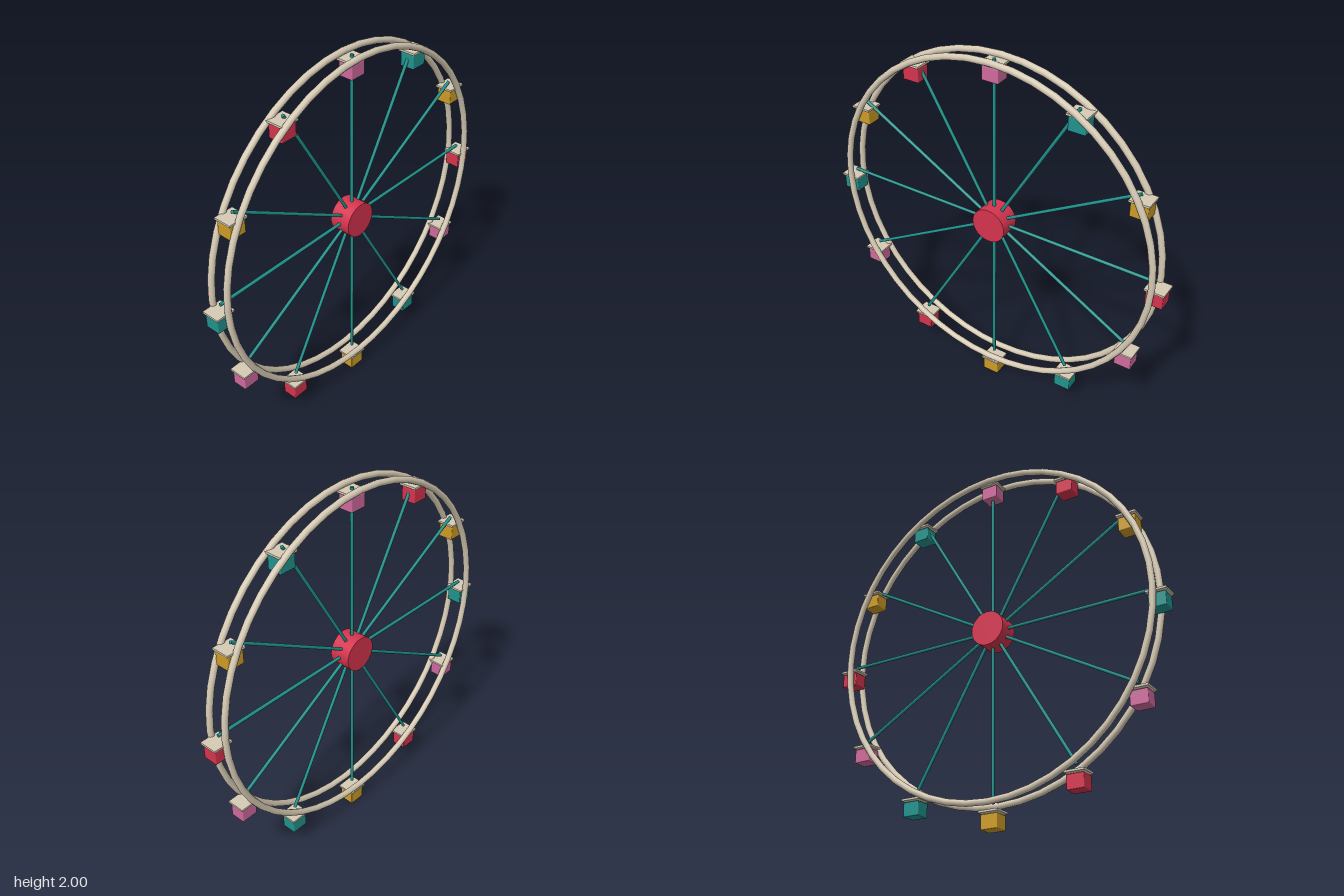
import * as THREE from 'three';
import { RoundedBoxGeometry } from 'three/addons/geometries/RoundedBoxGeometry.js';

const material = (name, color) => {
  const m = new THREE.MeshStandardMaterial({ color });
  m.name = name;
  return m;
};

export function createModel() {
  const red = material('red', 0xd5344e);
  const yellow = material('yellow', 0xcc9c26);
  const teal = material('teal', 0x20928d);
  const pink = material('pink', 0xcf6a9c);
  const cream = material('cream', 0xd6cab4);

  const AXLE_Y = 1.057, RIM = 0.925, PIVOT = 0.937, COUNT = 12;
  const model = new THREE.Group();
  model.name = 'ferrisWheel';

  const add = (parent, name, geometry, mat, x = 0, y = 0, z = 0) => {
    const mesh = new THREE.Mesh(geometry, mat);
    mesh.name = name;
    mesh.position.set(x, y, z);
    parent.add(mesh);
    return mesh;
  };

  // Two parallel rims
  const rimGeo = new THREE.TorusGeometry(RIM, 0.0175, 10, 48);
  add(model, 'frontRim', rimGeo, cream, 0, AXLE_Y, 0.053);
  add(model, 'backRim', rimGeo, cream, 0, AXLE_Y, -0.053);

  // Hub drum
  const hubGeo = new THREE.CylinderGeometry(0.096, 0.096, 0.118, 24).rotateX(Math.PI / 2);
  add(model, 'hub', hubGeo, red, 0, AXLE_Y, 0);

  // Spokes and upright hanging cabins
  const spokeGeo = new THREE.CylinderGeometry(0.009, 0.009, RIM, 8).translate(0, RIM / 2, 0);
  const cabinGeo = new RoundedBoxGeometry(0.094, 0.076, 0.083, 2, 0.005);
  const roofGeo = new THREE.BoxGeometry(0.108, 0.011, 0.099);
  const cabinColors = [red, yellow, teal, pink];

  for (let i = 0; i < COUNT; i++) {
    const a = (i / COUNT) * Math.PI * 2;
    const spoke = add(model, 'spoke', spokeGeo, teal, 0, AXLE_Y, 0);
    spoke.rotation.z = a - Math.PI / 2;

    const gondola = new THREE.Group();
    gondola.name = 'gondola';
    gondola.position.set(PIVOT * Math.cos(a), AXLE_Y + PIVOT * Math.sin(a), 0);
    add(gondola, 'cabin', cabinGeo, cabinColors[i % 4], 0, -0.081, 0);
    add(gondola, 'roof', roofGeo, cream, 0, -0.031, 0);
    model.add(gondola);
  }
  return model;
}
